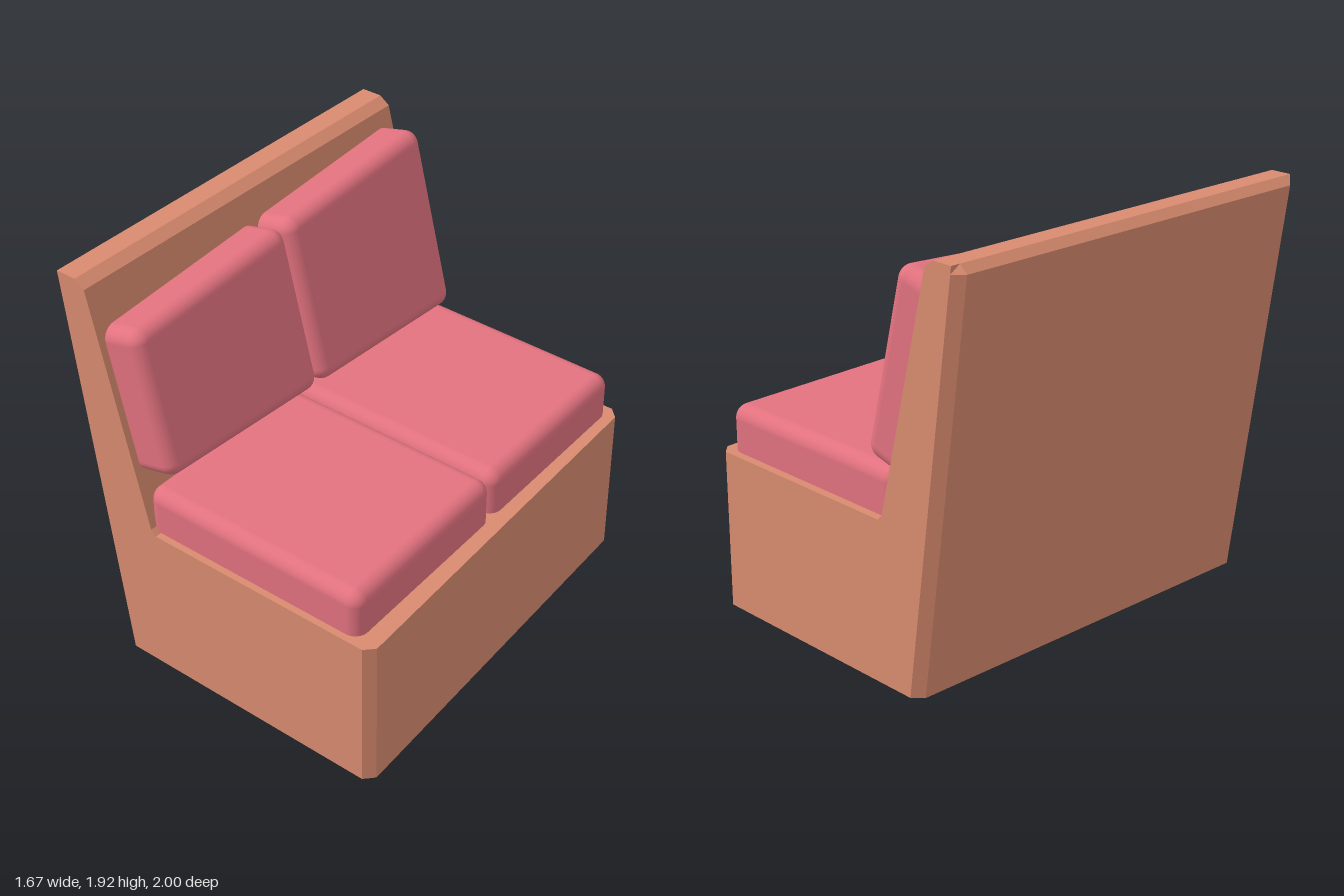
import * as THREE from 'three';
import { RoundedBoxGeometry } from 'three/addons/geometries/RoundedBoxGeometry.js';

const wood = new THREE.MeshStandardMaterial({ color: 0xd98b6f, flatShading: true, side: THREE.DoubleSide });
const fabric = new THREE.MeshStandardMaterial({ color: 0xe2727f });

// Side profile of the bench body, from the bottom of the back round to the bottom of the front.
// The inset bevels the vertical edges at both ends.
function profile(z, inset) {
  const front = 0.78 + 0.055 * z - inset;
  return [
    [-0.575 + inset, 0], [-0.84 + inset, 1.885], [-0.80, 1.92], [-0.70, 1.92], [-0.65, 1.885],
    [-0.37, 0.77], [-0.345, 0.745], [front, 0.745], [front, 0],
  ];
}

// Hollow shell, open underneath
function makeBody() {
  const body = new THREE.Group();
  body.name = 'benchBody';
  const sections = [[-1, 0.045], [-0.955, 0], [0.955, 0], [1, 0.045]]
    .map(([z, inset]) => profile(z, inset).map(([x, y]) => [x, y, z]));
  const positions = [];
  for (let i = 0; i < sections.length - 1; i++) {
    const p = sections[i], q = sections[i + 1];
    for (let j = 0; j < p.length - 1; j++) {
      for (const v of [p[j], q[j], q[j + 1], p[j], q[j + 1], p[j + 1]]) positions.push(...v);
    }
  }
  const shell = new THREE.BufferGeometry();
  shell.setAttribute('position', new THREE.Float32BufferAttribute(positions, 3));
  shell.computeVertexNormals();
  const shellMesh = new THREE.Mesh(shell, wood);
  shellMesh.name = 'bodyShell';
  body.add(shellMesh);

  // Flat end panels
  for (const side of [-1, 1]) {
    const outline = profile(side, 0.045).map(([x, y]) => new THREE.Vector2(x * side, y));
    const panel = new THREE.ShapeGeometry(new THREE.Shape(outline)).translate(0, 0, 1);
    if (side < 0) panel.rotateY(Math.PI);
    const mesh = new THREE.Mesh(panel, wood);
    mesh.name = side > 0 ? 'leftSidePanel' : 'rightSidePanel';
    body.add(mesh);
  }
  return body;
}

// Cushion lying on y = 0, with rounded top and a flat base; lo(z) and hi(z) give its slanted ends
function makeCushion(name, z0, z1, lo, hi, thick, radius) {
  const zMid = (z0 + z1) / 2;
  const length = hi(zMid) - lo(zMid);
  const geometry = new RoundedBoxGeometry(length, thick * 2, z1 - z0, 5, radius);
  const pos = geometry.attributes.position;
  for (let i = 0; i < pos.count; i++) {
    const z = pos.getZ(i) + zMid;
    const t = pos.getX(i) / length + 0.5;
    pos.setXYZ(i, lo(z) + t * (hi(z) - lo(z)), Math.max(pos.getY(i), 0), z);
  }
  const mesh = new THREE.Mesh(geometry, fabric);
  mesh.name = name;
  return mesh;
}

export function createModel() {
  const model = new THREE.Group();
  model.name = 'boothBench';
  model.add(makeBody());

  const seat = new THREE.Group();
  seat.name = 'seatCushions';
  seat.position.y = 0.75;

  // The back cushions lie against the sloping face of the backrest
  const back = new THREE.Group();
  back.name = 'backCushions';
  back.position.set(-0.36, 0.746, 0);
  back.rotation.z = -Math.atan2(1.115, 0.28);

  for (const [side, z0, z1] of [['left', 0.004, 0.972], ['right', -0.968, -0.004]]) {
    seat.add(makeCushion(side + 'SeatCushion', z0, z1,
      () => -0.41, (z) => 0.713 + 0.036 * z, 0.215, 0.065));
    back.add(makeCushion(side + 'BackCushion', z0, z1 - 0.004,
      (z) => -1.04 + 0.063 * z, (z) => -0.247 - 0.046 * z, 0.195, 0.065));
  }
  model.add(seat, back);
  return model;
}
